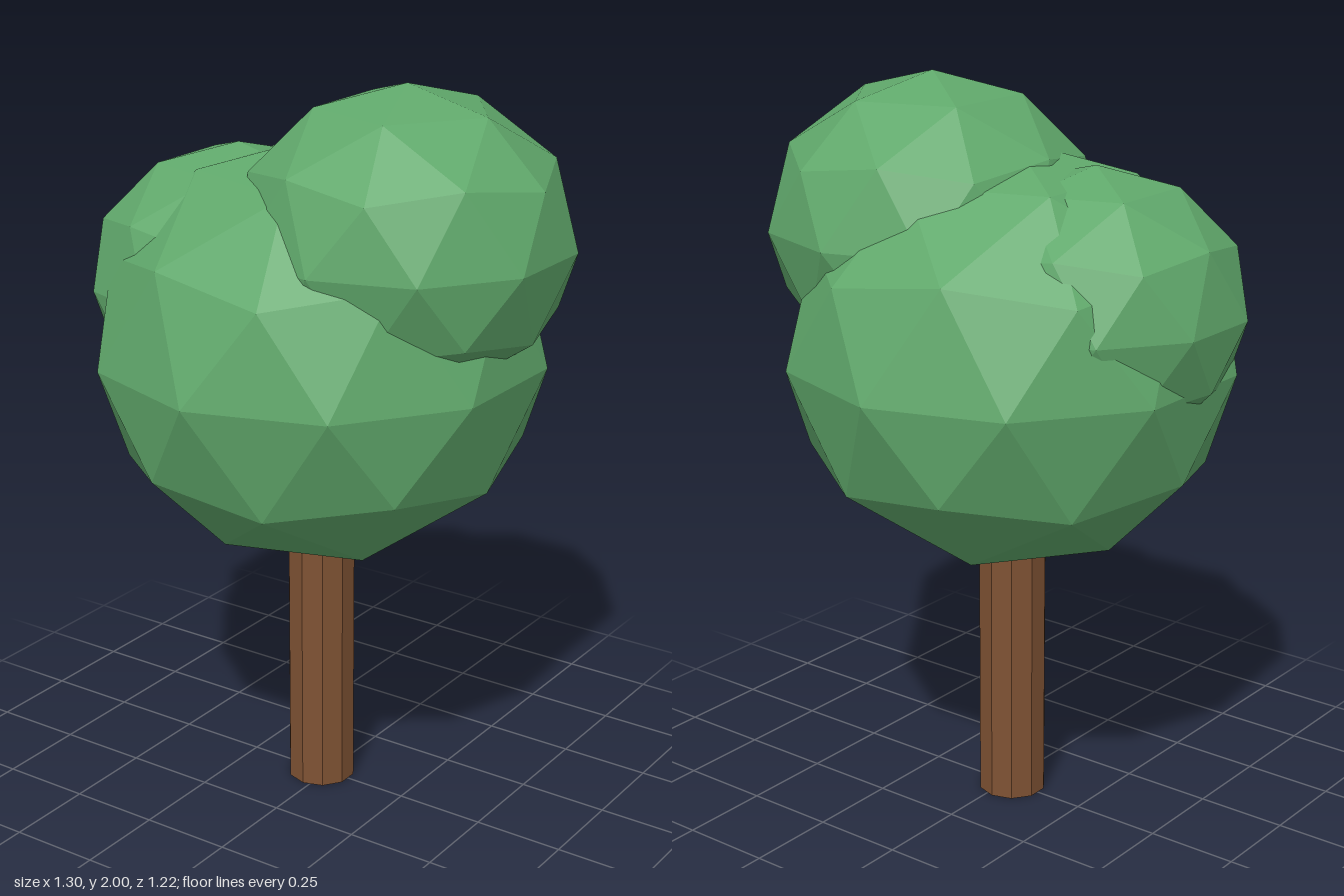
import * as THREE from 'three';

export function createModel() {
  const leafGreen = new THREE.MeshStandardMaterial({ color: 0x60a86b });
  leafGreen.name = 'leafGreen';
  const barkBrown = new THREE.MeshStandardMaterial({ color: 0x7f5233 });
  barkBrown.name = 'barkBrown';

  const tree = new THREE.Group();
  tree.name = 'tree';

  // Adds a faceted mesh with one normal per face
  function addFaceted(name, geometry, material, x, y, z) {
    const faceted = geometry.index ? geometry.toNonIndexed() : geometry;
    faceted.computeVertexNormals();
    const mesh = new THREE.Mesh(faceted, material);
    mesh.name = name;
    mesh.position.set(x, y, z);
    tree.add(mesh);
  }

  // Slightly squashed icosphere with a corner pointing straight up
  const tilt = -Math.atan(2 / (1 + Math.sqrt(5)));
  function addFoliage(name, radius, halfHeight, x, y, z) {
    const ball = new THREE.IcosahedronGeometry(1, 1);
    ball.rotateZ(tilt);
    ball.scale(radius, halfHeight, radius);
    addFaceted(name, ball, leafGreen, x, y, z);
  }

  // Ten-sided trunk, its top hidden inside the crown
  addFaceted('trunk', new THREE.CylinderGeometry(0.094, 0.094, 0.95, 10), barkBrown, -0.02, 0.475, 0);

  // Crown of three overlapping clumps
  addFoliage('mainFoliage', 0.61, 0.57, -0.02, 1.27, 0);
  addFoliage('upperLeftFoliage', 0.447, 0.404, 0.222, 1.596, -0.028);
  addFoliage('rightFoliage', 0.404, 0.37, -0.266, 1.43, 0.025);

  return tree;
}
